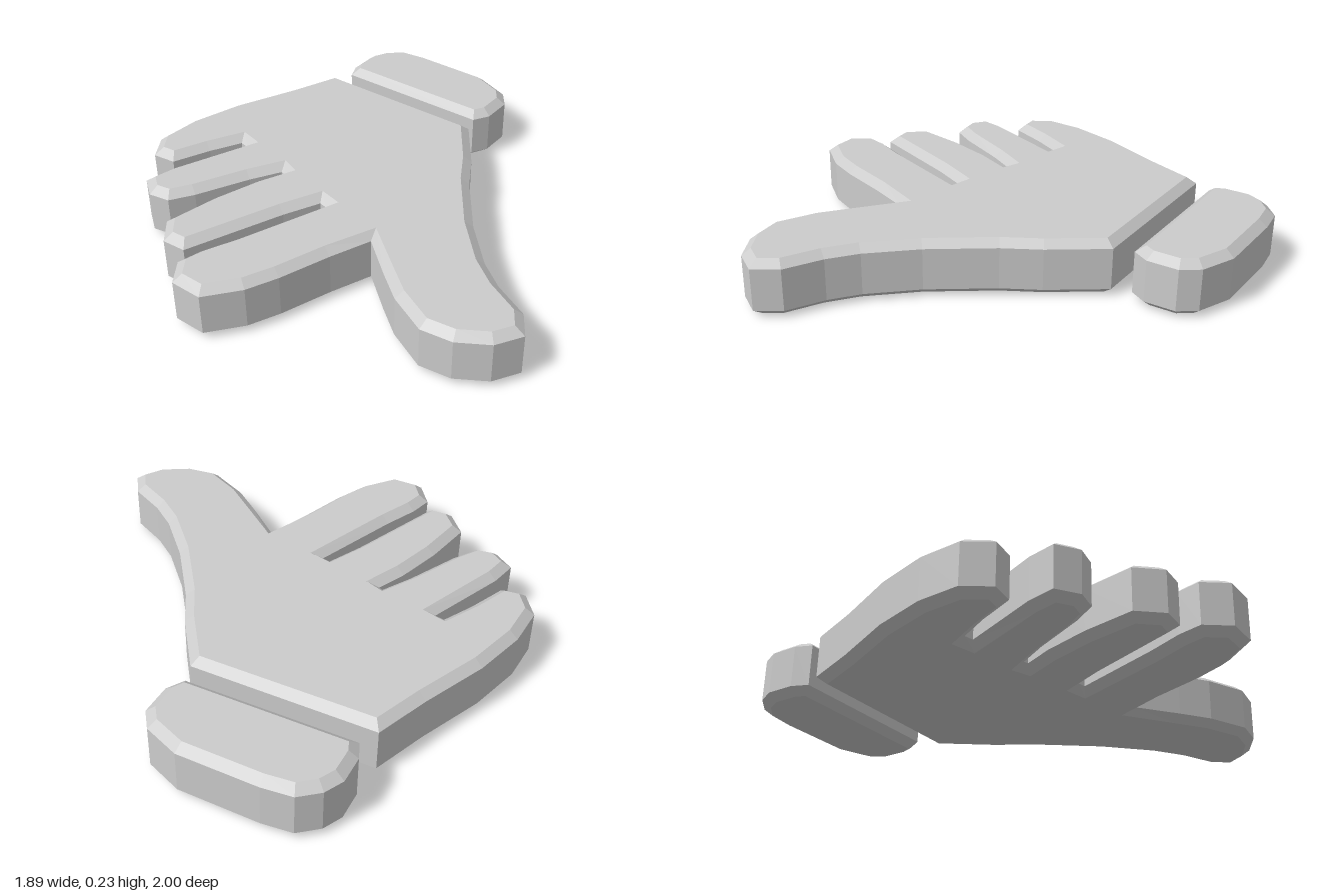
import * as THREE from 'three';

const HEIGHT = 0.235, BEVEL_RISE = 0.03, BEVEL_INSET = 0.037;
const material = new THREE.MeshStandardMaterial({ color: 0xcccccc, flatShading: true });

// Lying slab with chamfered rims from an outline of [x, z] points
function slab(name, outline) {
  const shape = new THREE.Shape(outline.map(([x, z]) => new THREE.Vector2(x, -z)));
  const geometry = new THREE.ExtrudeGeometry(shape, {
    depth: HEIGHT - 2 * BEVEL_RISE,
    bevelEnabled: true,
    bevelSegments: 1,
    bevelThickness: BEVEL_RISE,
    bevelSize: BEVEL_INSET,
    bevelOffset: -BEVEL_INSET,
  });
  geometry.rotateX(-Math.PI / 2);
  geometry.translate(0, BEVEL_RISE, 0);
  const mesh = new THREE.Mesh(geometry, material);
  mesh.name = name;
  return mesh;
}

// Hand outline, traced from the back of the wrist round the fingers and thumb
const littleFinger = [
  [0.36, -0.92], [0.12, -0.925], [-0.17, -0.945], [-0.4, -0.93], [-0.57, -0.88],
  [-0.645, -0.78], [-0.6, -0.69], [-0.43, -0.68], [-0.285, -0.66],
];
const ringFinger = [
  [-0.28, -0.62], [-0.635, -0.635], [-0.755, -0.62], [-0.785, -0.52], [-0.74, -0.44],
  [-0.63, -0.415], [-0.39, -0.39], [-0.25, -0.365],
];
const middleFinger = [
  [-0.25, -0.345], [-0.385, -0.355], [-0.585, -0.345], [-0.805, -0.31], [-0.87, -0.2],
  [-0.83, -0.105], [-0.395, -0.095], [-0.23, -0.08],
];
const indexFinger = [
  [-0.225, -0.045], [-0.62, -0.05], [-0.775, -0.06], [-0.88, -0.05], [-0.95, 0.05],
  [-0.905, 0.18], [-0.745, 0.235], [-0.605, 0.245], [-0.38, 0.24], [-0.195, 0.245],
];
const thumb = [
  [-0.265, 0.44], [-0.31, 0.58], [-0.33, 0.765], [-0.27, 0.885], [-0.16, 0.975],
  [-0.04, 1], [0.03, 0.905], [0.05, 0.735], [0.09, 0.6], [0.195, 0.39],
];
const wrist = [[0.36, 0.145], [0.47, 0.015], [0.62, -0.205]];

// Separate cuff behind the wrist
const cuff = [
  [0.445, -0.91], [0.5, -0.96], [0.61, -1], [0.695, -0.99], [0.78, -0.94], [0.835, -0.83],
  [0.945, -0.52], [0.94, -0.36], [0.89, -0.285], [0.765, -0.24], [0.685, -0.255],
];

export function createModel() {
  const group = new THREE.Group();
  group.name = 'thumbSign';
  group.add(slab('hand', [
    ...littleFinger, ...ringFinger, ...middleFinger, ...indexFinger, ...thumb, ...wrist,
  ]));
  group.add(slab('cuff', cuff));
  return group;
}
